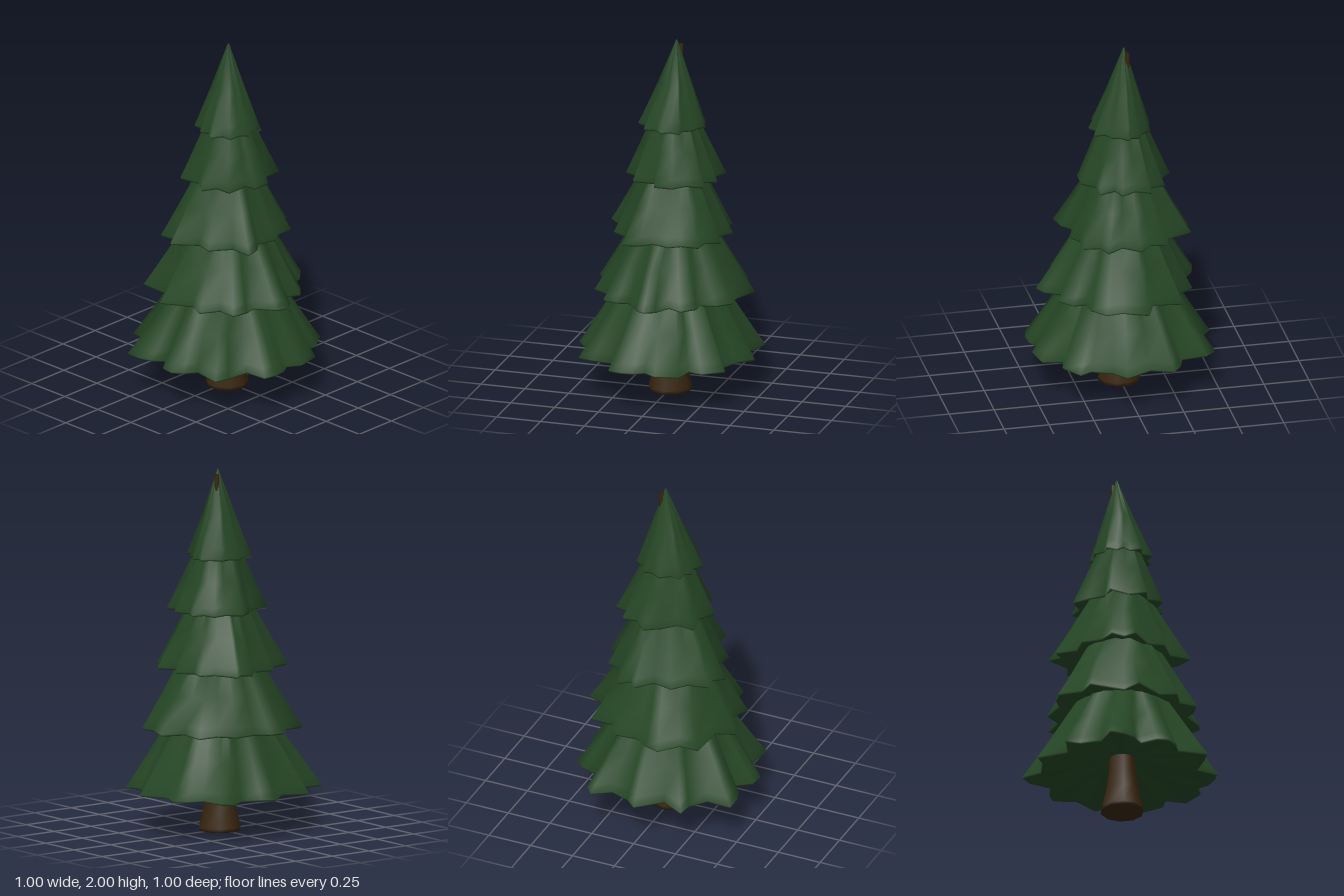
import * as THREE from 'three';

const green = new THREE.MeshStandardMaterial({ color: 0x264726 });
green.name = 'needleGreen';
const brown = new THREE.MeshStandardMaterial({ color: 0x38250f });
brown.name = 'barkBrown';

// Joins rings of equal length, listed from bottom to top, into a smooth skin.
function loft(rings, material, name) {
  const n = rings[0].length, index = [];
  for (let k = 0; k < rings.length - 1; k++) {
    for (let j = 0; j < n; j++) {
      const a = k * n + j, b = k * n + (j + 1) % n;
      index.push(a, a + n, b, b, a + n, b + n);
    }
  }
  const geometry = new THREE.BufferGeometry();
  geometry.setAttribute('position', new THREE.Float32BufferAttribute(rings.flat(2), 3));
  geometry.setIndex(index);
  geometry.computeVertexNormals();
  const mesh = new THREE.Mesh(geometry, material);
  mesh.name = name;
  return mesh;
}

// A jagged skirt: underside, rolled rim, then folds that fade toward the top.
function branchTier(name, { bottom, top, topRadius, inner, centre, outline }) {
  const [cx, cz] = centre;
  const ring = (scale, y, fade, radius) => outline.map(([x, z]) => {
    const dx = x - cx, dz = z - cz, r = Math.hypot(dx, dz);
    const s = THREE.MathUtils.lerp(scale, radius / r, fade);
    return [cx + dx * s, y, cz + dz * s];
  });
  const h = top - bottom;
  const mean = outline.reduce((sum, [x, z]) => sum + Math.hypot(x - cx, z - cz), 0) / outline.length;
  const k = topRadius / mean;
  const climb = (t, fade) => ring(1 + (k - 1) * t, bottom + h * t, fade, mean + (topRadius - mean) * t);
  return loft([
    ring(1, bottom + 0.09, 1, inner),
    ring(0.92, bottom + 0.01, 0, 1),
    ring(0.985, bottom - 0.005, 0, 1),
    ring(1, bottom + 0.005, 0, 1),
    climb(0.12, 0.03),
    climb(0.5, 0.2),
    climb(1, 0.6),
  ], green, name);
}

const tiers = {
  lowestBranches: {
    bottom: 0.232, top: 0.64, topRadius: 0.25, inner: 0.06, centre: [0, 0],
    outline: [[0, -.505], [.06, -.45], [.17, -.41], [.27, -.475], [.315, -.42], [.33, -.28],
      [.42, -.25], [.475, -.205], [.43, -.08], [.5, .06], [.42, .13], [.375, .24], [.41, .305],
      [.3, .38], [.22, .36], [.2, .475], [.07, .5], [0, .455], [-.06, .49], [-.13, .495],
      [-.2, .48], [-.21, .355], [-.34, .34], [-.42, .32], [-.395, .16], [-.46, .115],
      [-.5, .06], [-.49, -.01], [-.41, -.07], [-.46, -.13], [-.48, -.2], [-.48, -.285],
      [-.34, -.28], [-.27, -.37], [-.26, -.455], [-.13, -.385]],
  },
  lowerBranches: {
    bottom: 0.578, top: 0.97, topRadius: 0.2, inner: 0.05, centre: [.01, 0],
    outline: [[-.11, -.43], [-.03, -.41], [.04, -.36], [.17, -.37], [.23, -.28], [.355, -.28],
      [.335, -.12], [.46, -.07], [.4, .07], [.41, .16], [.33, .23], [.25, .24], [.25, .31],
      [.18, .38], [.1, .34], [.05, .43], [-.01, .46], [-.06, .43], [-.13, .33], [-.2, .34],
      [-.28, .32], [-.28, .22], [-.38, .16], [-.34, .07], [-.43, -.09], [-.32, -.13],
      [-.31, -.33], [-.2, -.33]],
  },
  middleBranches: {
    bottom: 0.908, top: 1.28, topRadius: 0.15, inner: 0.04, centre: [.01, -.01],
    outline: [[.06, -.37], [.1, -.32], [.16, -.365], [.21, -.23], [.29, -.2], [.27, -.12],
      [.34, -.05], [.27, .04], [.33, .13], [.25, .16], [.24, .25], [.14, .25], [.08, .29],
      [-.02, .26], [-.08, .31], [-.17, .33], [-.17, .21], [-.28, .13], [-.26, .04],
      [-.36, -.08], [-.3, -.12], [-.31, -.2], [-.2, -.22], [-.13, -.3], [-.02, -.28]],
  },
  upperBranches: {
    bottom: 1.225, top: 1.57, topRadius: 0.11, inner: 0.03, centre: [.02, -.01],
    outline: [[.05, -.27], [.12, -.2], [.2, -.21], [.21, -.13], [.28, -.12], [.24, -.04],
      [.28, .04], [.21, .07], [.24, .16], [.14, .16], [.08, .23], [-.02, .23], [-.03, .17],
      [-.16, .17], [-.16, .08], [-.24, .04], [-.18, -.04], [-.2, -.16], [-.1, -.15], [-.03, -.22]],
  },
  topBranches: {
    bottom: 1.515, top: 1.997, topRadius: 0.003, inner: 0.02, centre: [.03, -.02],
    outline: [[0, -.17], [.06, -.14], [.1, -.15], [.13, -.1], [.18, -.07], [.17, -.03],
      [.195, -.01], [.16, .03], [.15, .07], [.1, .1], [.1, .16], [.04, .14], [0, .17],
      [-.04, .13], [-.11, .13], [-.11, .07], [-.17, .04], [-.13, -.01], [-.15, -.06],
      [-.11, -.08], [-.11, -.14], [-.05, -.13]],
  },
};

// Flared trunk that leans slightly and pokes out beside the tip.
function trunk() {
  const profile = [[0, 0.001], [0, 0.117], [0.02, 0.117], [0.13, 0.092], [0.24, 0.075], [0.4, 0.065],
    [1.2, 0.035], [1.97, 0.012], [1.97, 0.001]];
  return loft(profile.map(([y, r]) => Array.from({ length: 10 }, (_, i) => {
    const a = i / 10 * Math.PI * 2, lean = (y / 1.97) ** 2;
    return [0.05 * lean + r * Math.sin(a), y, -0.035 * lean - r * Math.cos(a)];
  })), brown, 'trunk');
}

export function createModel() {
  const tree = new THREE.Group();
  tree.name = 'pineTree';
  tree.add(trunk());
  for (const [name, tier] of Object.entries(tiers)) tree.add(branchTier(name, tier));
  return tree;
}
